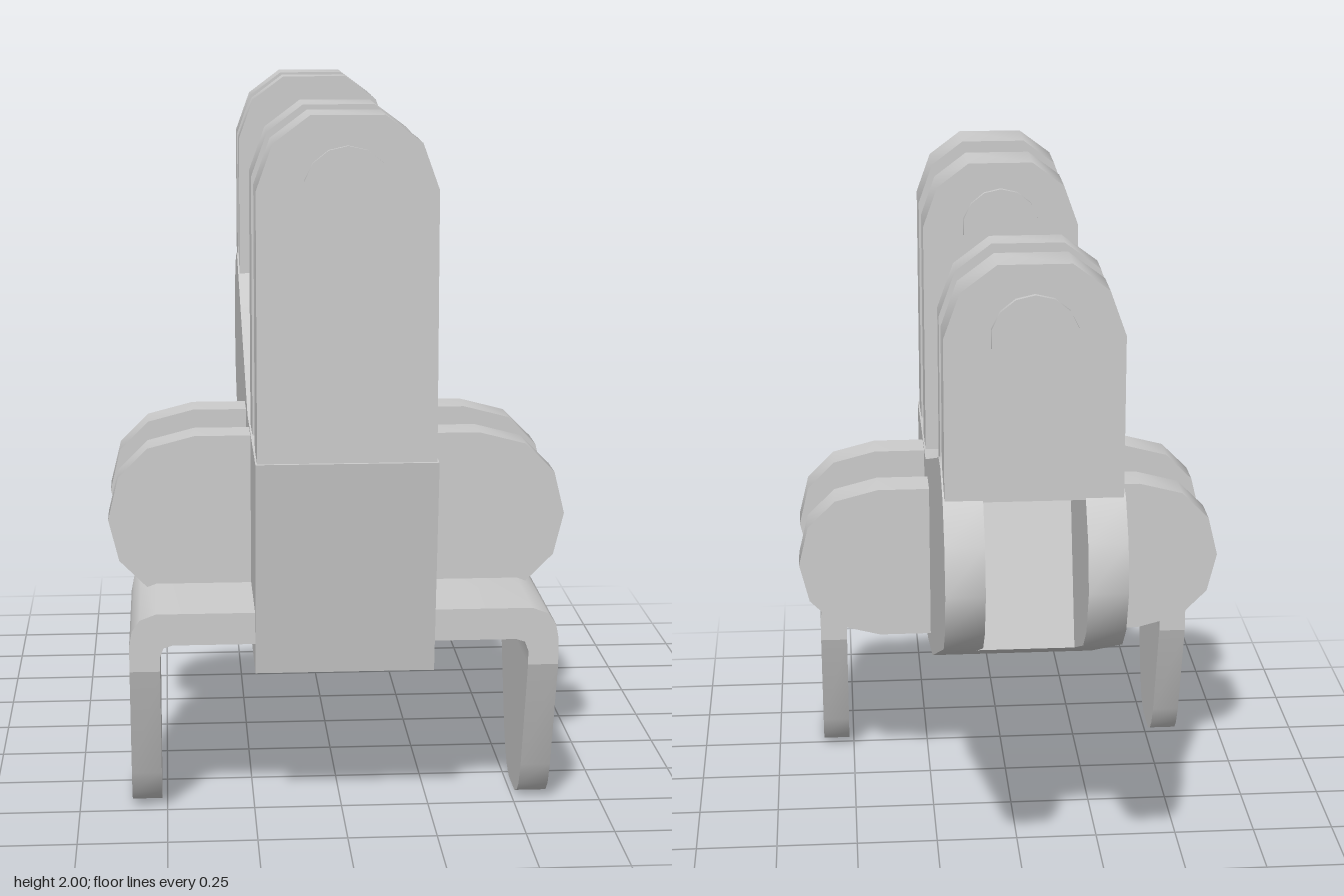
import * as THREE from 'three';
import { toCreasedNormals } from 'three/addons/utils/BufferGeometryUtils.js';

const material = new THREE.MeshStandardMaterial({ color: 0xcccccc });

// Extrude an outline; 'z' runs it along z, 'x' reads the outline as (z, y) and runs it along x.
function slab(name, points, from, to, axis = 'z') {
  const shape = new THREE.Shape(points.map(([a, b]) => new THREE.Vector2(a, b)));
  const geo = new THREE.ExtrudeGeometry(shape, { depth: to - from, bevelEnabled: false });
  if (axis === 'x') geo.rotateY(-Math.PI / 2).translate(to, 0, 0);
  else geo.translate(0, 0, from);
  const mesh = new THREE.Mesh(toCreasedNormals(geo, 0.7), material);
  mesh.name = name;
  return mesh;
}

// Upright lug with a rounded top
function lug(name, bottom, from, to) {
  const half = [[0.245, bottom], [0.245, 1.8], [0.2, 1.925], [0.1, 2]];
  const mirrored = half.map(([x, y]) => [-x, y]).reverse();
  return slab(name, [...half, ...mirrored], from, to);
}

function pin(name, from, to) {
  const geo = new THREE.CylinderGeometry(0.12, 0.12, to - from, 14);
  geo.rotateX(Math.PI / 2).translate(0, 1.8, (from + to) / 2);
  const mesh = new THREE.Mesh(geo, material);
  mesh.name = name;
  return mesh;
}

export function createModel() {
  const model = new THREE.Group();
  model.name = 'hitchBracket';

  // Arm: solid core that stops at the slot, with full-length cheeks on both sides
  const arm = new THREE.Group();
  arm.name = 'arm';
  const upper = [[0.33, 1.065], [0.97, 1.06], [0.88, 0.445], [0.31, 0.455], [-0.05, 0.545]];
  const tip = [[-0.84, 0.9], [-0.92, 0.975], [-0.97, 1.105], [-0.94, 1.24], [-0.865, 1.345],
    [-0.74, 1.4], [-0.63, 1.395], [-0.535, 1.36]];
  const slotFloor = [[-0.6, 0.792], [-0.42, 1.321]];
  arm.add(slab('armCore', [...upper, ...slotFloor], -0.14, 0.14, 'x'));
  arm.add(slab('leftCheek', [...upper, ...tip], 0.14, 0.25, 'x'));
  arm.add(slab('rightCheek', [...upper, ...tip], -0.25, -0.14, 'x'));
  model.add(arm);

  // Lug pairs and their pins
  model.add(lug('frontOuterLug', 1.03, 0.785, 0.96));
  model.add(lug('frontInnerLug', 1.03, 0.435, 0.605));
  model.add(pin('frontPin', 0.42, 0.975));
  model.add(lug('rearInnerLug', 1.34, -0.627, -0.535));
  model.add(lug('rearOuterLug', 1.34, -0.865, -0.732));
  model.add(pin('rearPin', -0.88, -0.522));

  // Side ears and bent claws, mirrored across the arm
  const ear = [[0.2, 0.57], [0.41, 0.57], [0.545, 0.605], [0.63, 0.69], [0.66, 0.812],
    [0.63, 0.935], [0.545, 1.02], [0.41, 1.055], [0.2, 1.055]];
  const bend = [[0.2, 0.53], [0.48, 0.53], [0.505, 0.522], [0.515, 0.495], [0.515, 0.455],
    [0.6, 0.455], [0.6, 0.53], [0.592, 0.572], [0.57, 0.603], [0.525, 0.62], [0.2, 0.62]];
  const claw = [[0.88, 0.455], [0.77, 0.12], [0.735, 0.05], [0.7, 0.018], [0.655, 0],
    [0.535, 0], [0.49, 0.02], [0.455, 0.055], [0.42, 0.12], [0.31, 0.455]];
  for (const [side, s] of [['left', 1], ['right', -1]]) {
    const flip = (pts) => pts.map(([x, y]) => [s * x, y]);
    model.add(slab(side + 'FrontEar', flip(ear), 0.45, 0.565));
    model.add(slab(side + 'RearEar', flip(ear), 0.07, 0.19));
    model.add(slab(side + 'ClawBend', flip(bend), 0.31, 0.88));
    model.add(slab(side + 'Claw', claw, s > 0 ? 0.515 : -0.6, s > 0 ? 0.6 : -0.515, 'x'));
  }
  return model;
}
